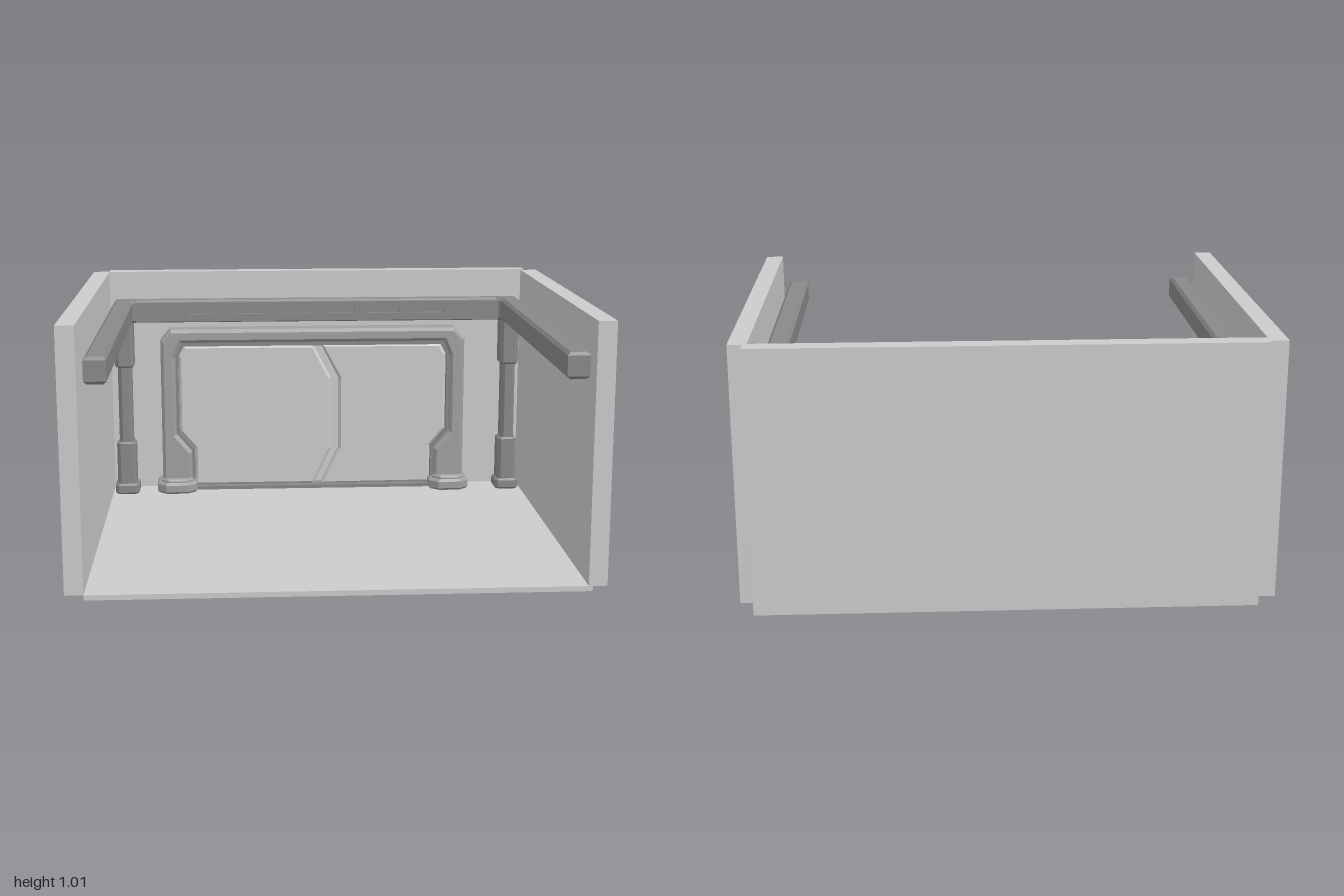
import * as THREE from 'three';

const material = (color) => new THREE.MeshStandardMaterial({ color, flatShading: true });

// Solid from an outline in the xy plane, z from 0 to depth, with bevelled rims
function slab(points, depth, bevel = 0, holes = []) {
  const shape = new THREE.Shape(points.map(([x, y]) => new THREE.Vector2(x, y)));
  for (const h of holes) shape.holes.push(new THREE.Path(h.map(([x, y]) => new THREE.Vector2(x, y))));
  const geometry = new THREE.ExtrudeGeometry(shape, {
    depth: depth - 2 * bevel, bevelEnabled: bevel > 0, bevelSize: bevel,
    bevelThickness: bevel, bevelOffset: -bevel, bevelSegments: 1,
  });
  return geometry.translate(0, 0, bevel);
}

// Solid from a floor-plan outline of [x, z] points, raised from y0 to y1
function raised(points, y0, y1, bevel) {
  return slab(points.map(([x, z]) => [x, -z]), y1 - y0, bevel).rotateX(-Math.PI / 2).translate(0, y0, 0);
}

// Rectangle with cut corners
function cutRect(x0, x1, z0, z1, c) {
  return [[x0 + c, z0], [x1 - c, z0], [x1, z0 + c], [x1, z1 - c],
    [x1 - c, z1], [x0 + c, z1], [x0, z1 - c], [x0, z0 + c]];
}

export function createModel() {
  const model = new THREE.Group();
  model.name = 'room';
  const light = material(0xcccccc);
  const mid = material(0xa0a0a0);
  const dark = material(0x888888);

  const add = (name, geometry, mat, parent = model) => {
    const mesh = new THREE.Mesh(geometry, mat);
    mesh.name = name;
    parent.add(mesh);
    return mesh;
  };
  const box = (name, x0, x1, y0, y1, z0, z1) => add(name,
    new THREE.BoxGeometry(x1 - x0, y1 - y0, z1 - z0)
      .translate((x0 + x1) / 2, (y0 + y1) / 2, (z0 + z1) / 2), light);

  // Room shell
  box('floor', -0.93, 0.945, 0, 0.02, -0.815, 0.803);
  box('backWall', -0.93, 0.945, 0.02, 1.015, -0.815, -0.745);
  box('rightWall', -1, -0.93, 0.02, 1.012, -0.78, 0.803);
  box('leftWall', 0.93, 1, 0.02, 1.012, -0.745, 0.803);

  // Rail running around three walls, with cut inner corners
  add('rail', raised([
    [-0.905, 0.81], [-0.905, -0.7], [0.905, -0.7], [0.905, 0.81], [0.822, 0.81],
    [0.822, -0.61], [0.802, -0.63], [-0.802, -0.63], [-0.822, -0.61], [-0.822, 0.81],
  ], 0.8, 0.9, 0.012), dark);

  // Slotted plate on the back stretch of the rail
  const slots = [];
  for (let i = 0; i < 6; i++) {
    const x = -0.505 + i * 0.2;
    slots.push([[x - 0.07, 0.84], [x + 0.07, 0.84], [x + 0.07, 0.862], [x - 0.07, 0.862]]);
  }
  add('slottedPlate', slab([[-0.81, 0.808], [0.81, 0.808], [0.81, 0.892], [-0.81, 0.892]],
    0.03, 0, slots).translate(0, 0, -0.64), dark);

  // Corner posts: [name, half width, y0, y1, z back, z front]
  const postParts = [
    ['postBase', 0.054, 0.02, 0.068, -0.717, -0.603],
    ['postSleeve', 0.043, 0.06, 0.26, -0.707, -0.612],
    ['postShaft', 0.031, 0.25, 0.61, -0.697, -0.622],
    ['postHead', 0.042, 0.6, 0.81, -0.71, -0.612],
  ];
  for (const side of [-1, 1]) {
    const post = new THREE.Group();
    post.name = side < 0 ? 'rightPost' : 'leftPost';
    const x = side * 0.865;
    for (const [name, w, y0, y1, z0, z1] of postParts) {
      add(name, raised(cutRect(x - w, x + w, z0, z1, 0.016), y0, y1, 0.008), dark, post);
    }
    model.add(post);
  }

  // Doorway, built about its own centre line
  const doorway = new THREE.Group();
  doorway.name = 'doorway';
  doorway.position.x = -0.02;
  model.add(doorway);
  const mirrored = (half) => [...half, ...half.map(([x, y]) => [-x, y]).reverse()];

  // Frame outline: up the outside, across, then back along the opening
  const outer = [[-0.685, 0.02], [-0.685, 0.715], [-0.64, 0.765]];
  const inner = [[-0.552, 0.02], [-0.552, 0.205], [-0.62, 0.285], [-0.62, 0.64], [-0.592, 0.705]];
  add('doorFrame', slab([...mirrored(outer), ...mirrored(inner).reverse()], 0.11, 0.014)
    .translate(0, 0, -0.747), mid, doorway);

  // Thin lip lining the opening
  const lining = [[-0.54, 0.02], [-0.54, 0.208], [-0.608, 0.288], [-0.608, 0.637], [-0.582, 0.685]];
  add('doorLining', slab([...mirrored(inner), ...mirrored(lining).reverse()], 0.075)
    .translate(0, 0, -0.747), dark, doorway);

  // Stepped feet of the frame
  for (const side of [-1, 1]) {
    const foot = [[-0.09, -0.745], [0.09, -0.745], [0.09, -0.63], [0.05, -0.592], [-0.05, -0.592], [-0.09, -0.63]];
    const x = side * 0.62;
    add('frameFoot', raised(foot.map(([a, z]) => [x + a, z]), 0.02, 0.07, 0.01), mid, doorway);
    add('frameAnkle', raised(foot.map(([a, z]) => [x + a * 0.8, z - 0.012]), 0.06, 0.085, 0.008), mid, doorway);
  }

  // Two sliding door leaves meeting on a bent seam
  const edge = (dx) => [[dx, 0.035], [dx + 0.08, 0.2], [dx + 0.08, 0.53], [dx, 0.685]];
  const jamb = [[-0.582, 0.685], [-0.608, 0.637], [-0.608, 0.288], [-0.54, 0.208], [-0.54, 0.035]];
  add('rightDoorLeaf', slab([...edge(0.003), ...jamb], 0.055, 0.012).translate(0, 0, -0.747), light, doorway);
  add('leftDoorLeaf', slab([...edge(0.038), ...jamb.map(([x, y]) => [-x, y])], 0.055, 0.012)
    .translate(0, 0, -0.747), light, doorway);

  // Threshold strip under the leaves
  add('threshold', new THREE.BoxGeometry(1.08, 0.015, 0.075).translate(0, 0.0275, -0.7085), dark, doorway);

  return model;
}
